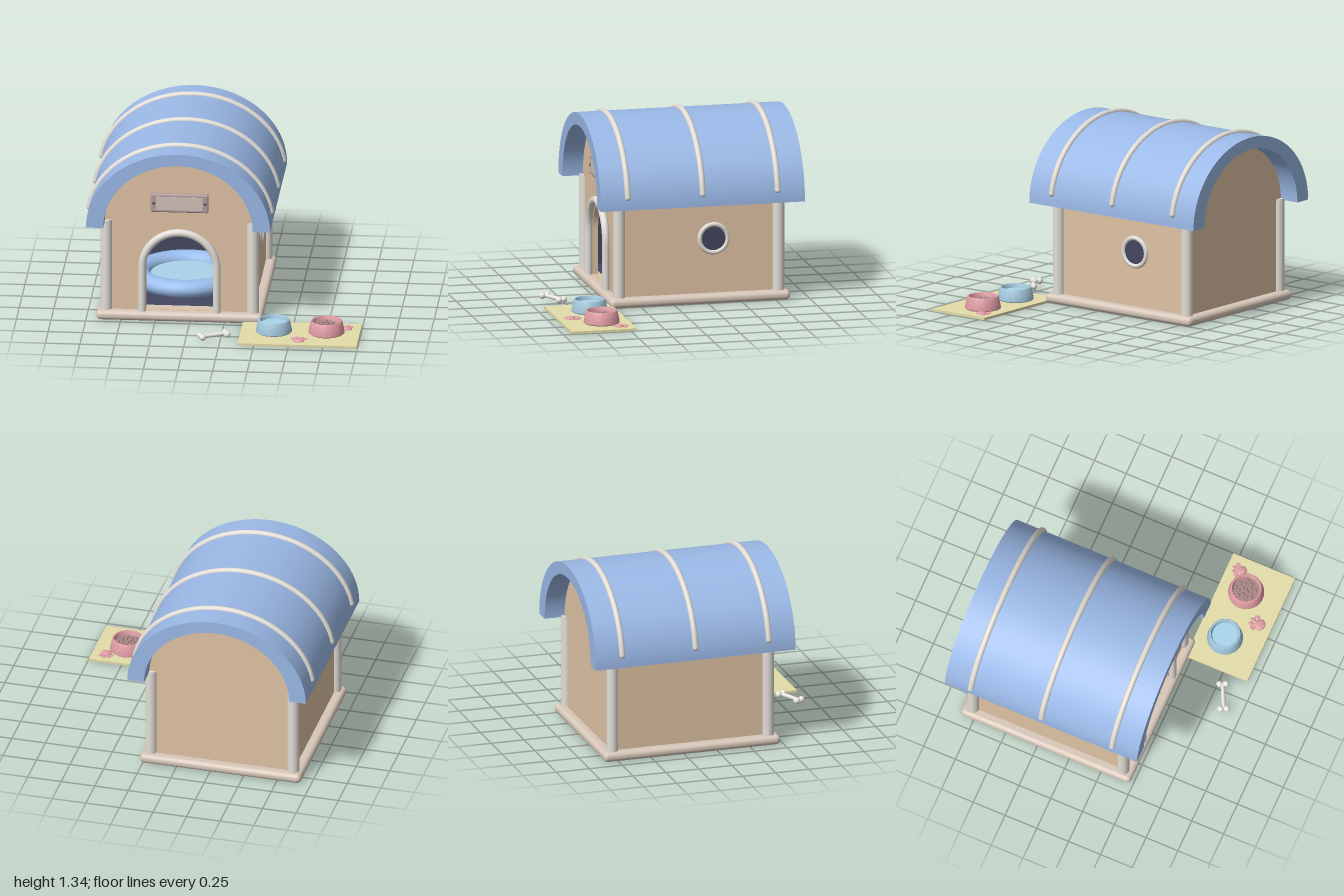
import * as THREE from 'three';
import { toCreasedNormals } from 'three/addons/utils/BufferGeometryUtils.js';
import { RoundedBoxGeometry } from 'three/addons/geometries/RoundedBoxGeometry.js';

const CX = -0.327, CZ = -0.19;       // house centre
const HALF = 0.53, DEPTH = 1.2;      // wall half width and depth
const EAVE = 0.738, FLOOR = 0.07;
const FRONT = CZ + DEPTH / 2, BACK = CZ - DEPTH / 2;

const mat = (color, side = THREE.FrontSide) => new THREE.MeshStandardMaterial({ color, side });
const M = {
  wall: mat(0xdfc3a4), roof: mat(0x9ab8e6), trim: mat(0xe2ddd6), base: mat(0xd8c8ba),
  dark: mat(0x44475f), inside: mat(0x44475f, THREE.BackSide), frame: mat(0xb49b9b),
  plate: mat(0xd2c2b8), screw: mat(0x6a5560), bed: mat(0x9abdec), cushion: mat(0xacd4ea),
  rug: mat(0xe4dca8), blue: mat(0xa2c8dc), water: mat(0xaad6ec), pink: mat(0xe09ca4),
  food: mat(0xa88684), bone: mat(0xeae6e2),
};

function add(parent, name, geometry, material, x = 0, y = 0, z = 0) {
  const mesh = new THREE.Mesh(geometry, material);
  mesh.name = name;
  mesh.position.set(x, y, z);
  parent.add(mesh);
  return mesh;
}

function group(parent, name, x = 0, y = 0, z = 0) {
  const g = new THREE.Group();
  g.name = name;
  g.position.set(x, y, z);
  parent.add(g);
  return g;
}

const extrude = (shape, depth) => toCreasedNormals(
  new THREE.ExtrudeGeometry(shape, { depth, bevelEnabled: false, curveSegments: 32 }), 0.5);

const box = (w, h, d) => new THREE.BoxGeometry(w, h, d);

function archPath(target, half, bottom, spring) {
  target.moveTo(-half, bottom);
  target.lineTo(half, bottom);
  target.lineTo(half, spring);
  target.absarc(0, spring, half, 0, Math.PI, false);
  target.lineTo(-half, bottom);
  return target;
}

function buildWalls(root) {
  const house = group(root, 'house', CX, 0, 0);
  const h = EAVE - FLOOR, mid = (EAVE + FLOOR) / 2, t = 0.04;

  // Base slab and corner posts
  add(house, 'base', new RoundedBoxGeometry(1.2, 0.07, 1.335, 5, 0.032), M.base, 0, 0.035, CZ);
  for (const sx of [-1, 1]) for (const sz of [-1, 1])
    add(house, 'cornerPost', new THREE.CylinderGeometry(0.043, 0.043, 0.68, 24), M.trim,
      sx * HALF, 0.41, CZ + sz * 0.59);

  // Walls, with the arched doorway cut from the front
  const front = new THREE.Shape();
  front.moveTo(-HALF, FLOOR);
  front.lineTo(HALF, FLOOR);
  front.lineTo(HALF, EAVE);
  front.lineTo(-HALF, EAVE);
  front.closePath();
  front.holes.push(archPath(new THREE.Path(), 0.245, FLOOR + 0.002, 0.4));
  add(house, 'frontWall', extrude(front, t), M.wall, 0, 0, FRONT - t);
  add(house, 'backWall', box(2 * HALF, h, t), M.wall, 0, mid, BACK + t / 2);
  for (const s of [-1, 1])
    add(house, 'sideWall', box(t, h, DEPTH - 2 * t), M.wall, s * (HALF - t / 2), mid, CZ);
  add(house, 'interior', box(2 * HALF - 0.082, h - 0.025, DEPTH - 0.082), M.inside, 0, mid + 0.01, CZ);

  // Gables
  const gable = new THREE.Shape();
  gable.moveTo(0.54, 0);
  gable.absellipse(0, 0, 0.54, 0.487, 0, Math.PI, false);
  gable.closePath();
  add(house, 'gable', extrude(gable, DEPTH + 0.008), M.wall, 0, EAVE - 0.002, BACK - 0.004);

  // Door surround
  const path = new THREE.CurvePath();
  const v = (x, y) => new THREE.Vector3(x, y, 0);
  const arc = [];
  for (let i = 0; i <= 16; i++) {
    const a = Math.PI * (1 - i / 16);
    arc.push(v(0.27 * Math.cos(a), 0.4 + 0.27 * Math.sin(a)));
  }
  path.add(new THREE.LineCurve3(v(-0.27, FLOOR), arc[0]));
  path.add(new THREE.CatmullRomCurve3(arc));
  path.add(new THREE.LineCurve3(arc[16], v(0.27, FLOOR)));
  add(house, 'doorSurround', new THREE.TubeGeometry(path, 64, 0.028, 14), M.trim, 0, 0, FRONT + 0.025);

  // Round side window
  const win = group(house, 'sideWindow', HALF, 0.47, -0.3);
  win.rotation.y = Math.PI / 2;
  add(win, 'windowRing', new THREE.TorusGeometry(0.103, 0.017, 12, 40), M.trim);
  add(win, 'windowPane', new THREE.CircleGeometry(0.1, 40), M.dark, 0, 0, 0.004);

  // Blank sign
  const sign = group(house, 'sign', 0, 0.895, FRONT + 0.012);
  add(sign, 'signFrame', new RoundedBoxGeometry(0.42, 0.14, 0.04, 3, 0.012), M.frame);
  add(sign, 'signPlate', box(0.335, 0.1, 0.01), M.plate, 0, 0, 0.018);
  for (const s of [-1, 1])
    add(sign, 'signScrew', new THREE.SphereGeometry(0.011, 12, 8), M.screw, s * 0.187, 0, 0.02);

  // Bed
  const bed = group(house, 'bed', 0, 0.145, -0.17);
  const ring = add(bed, 'bedRim', new THREE.TorusGeometry(0.33, 0.075, 16, 48), M.bed);
  ring.rotation.x = Math.PI / 2;
  ring.scale.z = 0.85;
  add(bed, 'bedCushion', new THREE.CylinderGeometry(0.32, 0.32, 0.06, 40), M.cushion, 0, -0.02, 0);
}

function buildRoof(root) {
  const roof = group(root, 'roof', CX, EAVE, 0);
  const s = new THREE.Shape();
  s.moveTo(0.665, 0);
  s.absellipse(0, 0, 0.665, 0.575, 0, Math.PI, false);
  s.lineTo(-0.54, 0);
  s.absellipse(0, 0, 0.54, 0.487, Math.PI, 0, true);
  s.closePath();
  add(roof, 'roofShell', extrude(s, 1.51), M.roof, 0, 0, -0.945);

  // Raised bands across the roof
  const pts = [];
  for (let i = 0; i <= 24; i++) {
    const a = 0.16 + (Math.PI - 0.32) * i / 24;
    pts.push(new THREE.Vector3(0.665 * Math.cos(a), 0.575 * Math.sin(a), 0));
  }
  const band = new THREE.TubeGeometry(new THREE.CatmullRomCurve3(pts), 48, 0.022, 12);
  for (const z of [-0.745, CZ, 0.365]) {
    add(roof, 'roofBand', band, M.trim, 0, 0, z);
    for (const p of [pts[0], pts[24]])
      add(roof, 'bandEnd', new THREE.SphereGeometry(0.022, 12, 8), M.trim, p.x, p.y, z);
  }
}

function buildBowl(root, name, x, color, fill, level) {
  const bowl = group(root, name, x, 0.018, 0.66);
  const profile = [[0, 0], [0.122, 0], [0.13, 0.006], [0.13, 0.014], [0.115, 0.086], [0.11, 0.094],
    [0.102, 0.094], [0.098, 0.086], [0.09, 0.03], [0, 0.03]].map(p => new THREE.Vector2(...p));
  add(bowl, 'bowlBody', toCreasedNormals(new THREE.LatheGeometry(profile, 40), 0.7), color);
  add(bowl, 'bowlFill', new THREE.CylinderGeometry(0.093, 0.088, 0.02, 40), fill, 0, level - 0.01, 0);
  return bowl;
}

function buildPaw(root, x, z, size, turn) {
  const paw = group(root, 'pawPrint', x, 0.019, z);
  paw.rotation.y = turn;
  paw.scale.setScalar(size);
  const pad = (name, r, px, pz, sz) =>
    add(paw, name, new THREE.SphereGeometry(r, 16, 10), M.pink, px, 0, pz).scale.set(1, 0.35, sz);
  pad('mainPad', 0.044, 0, 0.018, 0.9);
  for (const s of [-1, 1]) {
    pad('outerToe', 0.016, s * 0.045, -0.022, 1.2);
    pad('innerToe', 0.017, s * 0.018, -0.042, 1.2);
  }
}

function buildYard(root) {
  // Feeding mat with two bowls
  add(root, 'feedingMat', box(0.86, 0.018, 0.485), M.rug, 0.565, 0.009, 0.697);
  buildBowl(root, 'waterBowl', 0.375, M.blue, M.water, 0.065);
  const food = buildBowl(root, 'foodBowl', 0.755, M.pink, M.food, 0.06);
  for (let i = 0; i < 16; i++) {
    const r = 0.02 * Math.sqrt(i), a = i * 2.4;
    add(food, 'kibble', new THREE.SphereGeometry(0.013, 10, 8), M.food, r * Math.cos(a), 0.063, r * Math.sin(a));
  }
  buildPaw(root, 0.567, 0.832, 1, 0);
  buildPaw(root, 0.89, 0.55, 0.9, 0.2);

  // Bone
  const bone = group(root, 'bone', -0.046, 0.038, 0.829);
  bone.rotation.y = 0.45;
  const shaft = add(bone, 'boneShaft', new THREE.CylinderGeometry(0.015, 0.015, 0.19, 14), M.bone);
  shaft.rotation.z = Math.PI / 2;
  for (const sx of [-1, 1]) for (const sz of [-1, 1])
    add(bone, 'boneKnob', new THREE.SphereGeometry(0.024, 16, 12), M.bone, sx * 0.095, 0, sz * 0.023);
}

export function createModel() {
  const root = new THREE.Group();
  root.name = 'petHouse';
  buildWalls(root);
  buildRoof(root);
  buildYard(root);
  return root;
}
